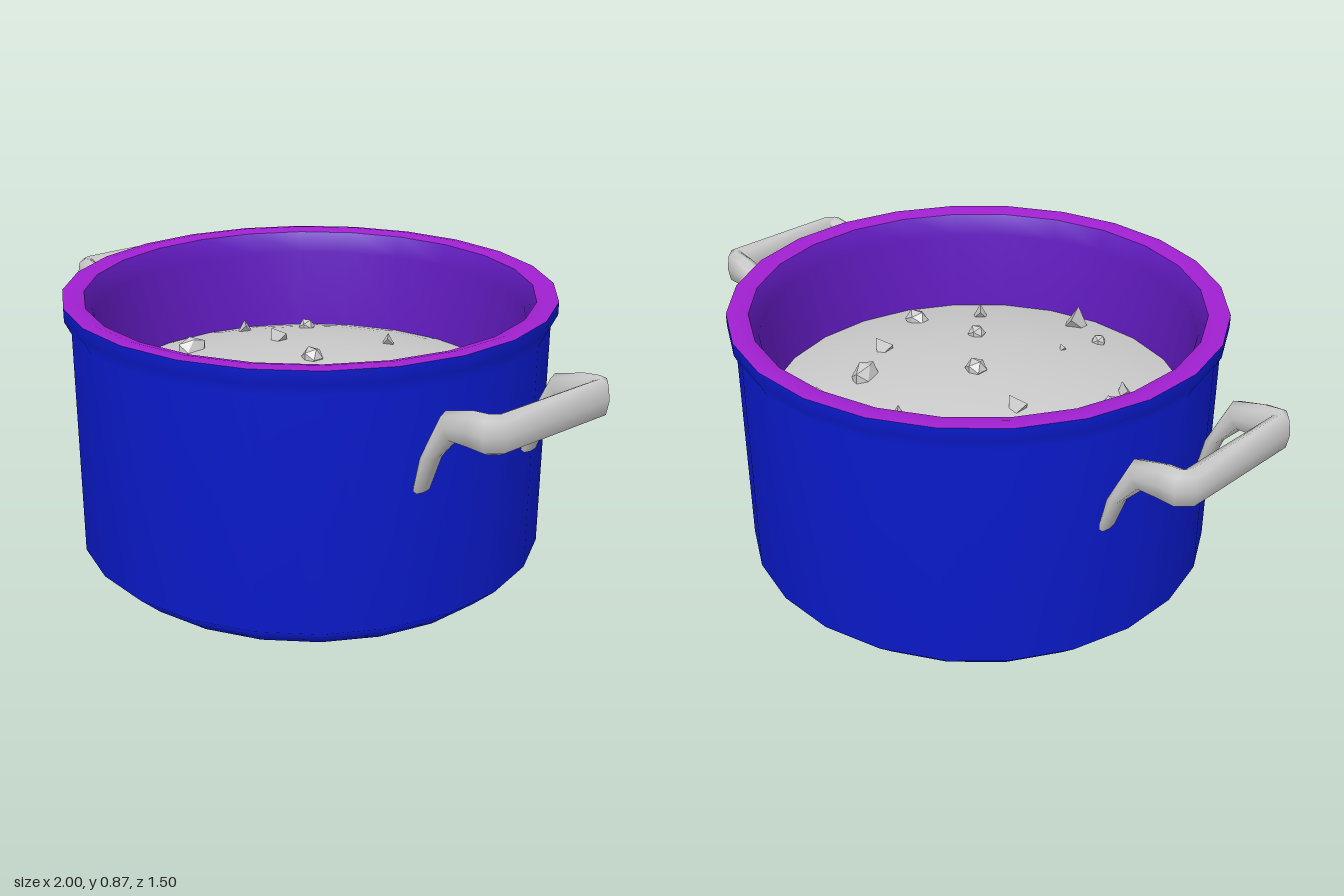
import * as THREE from 'three';

const SEGMENTS = 24;
const SOUP_RADIUS = 0.67;
const soupHeight = (r) => 0.625 - 0.105 * (r / SOUP_RADIUS) ** 2;
const paint = (color, extra = {}) => new THREE.MeshStandardMaterial({ color, ...extra });

// Surface of revolution with a flat facing the front
function turned(name, profile, material) {
  const points = profile.map(([r, y]) => new THREE.Vector2(r, y));
  const mesh = new THREE.Mesh(new THREE.LatheGeometry(points, SEGMENTS, Math.PI / SEGMENTS), material);
  mesh.name = name;
  return mesh;
}

// Loop handle: rings given by centre, upward half-axis and outward half-axis
function handleGeometry() {
  const arm = (ux, uy, lx, ly) => ({
    c: [(ux + lx) / 2, (uy + ly) / 2, 0.216],
    a: [(ux - lx) / 2, (uy - ly) / 2, 0],
    b: [0, 0, 0.032],
  });
  const corner = (ox, oz) => ({
    c: [(ox + 0.94) / 2, 0.731, (oz + 0.186) / 2],
    a: [0, 0.056, 0],
    b: [(ox - 0.94) / 2, 0, (oz - 0.186) / 2],
  });
  const half = [
    arm(0.712, 0.51, 0.73, 0.49),
    arm(0.73, 0.6, 0.775, 0.605),
    arm(0.8, 0.75, 0.84, 0.675),
    arm(0.9, 0.78, 0.9, 0.675),
    corner(0.96, 0.248),
    corner(1, 0.205),
  ];
  const flip = ([x, y, z]) => [x, y, -z];
  const mirrored = half.map(({ c, a, b }) => ({ c: flip(c), a: flip(a), b: flip(b) })).reverse();
  const rings = [...half, ...mirrored];
  const N = 8;
  const soft = (v) => Math.sign(v) * Math.abs(v) ** 0.75;
  const positions = [];
  const index = [];
  rings.forEach(({ c, a, b }, i) => {
    for (let k = 0; k < N; k++) {
      const t = (k / N) * Math.PI * 2;
      const u = soft(Math.cos(t));
      const v = soft(Math.sin(t));
      for (let d = 0; d < 3; d++) positions.push(c[d] + a[d] * u + b[d] * v);
      if (i === rings.length - 1) continue;
      const p = i * N + k;
      const q = i * N + ((k + 1) % N);
      index.push(p, q, p + N, q, q + N, p + N);
    }
  });
  // End caps
  const last = (rings.length - 1) * N;
  for (let k = 1; k < N - 1; k++) {
    index.push(0, k + 1, k, last, last + k, last + k + 1);
  }
  const geometry = new THREE.BufferGeometry();
  geometry.setAttribute('position', new THREE.Float32BufferAttribute(positions, 3));
  geometry.setIndex(index);
  geometry.computeVertexNormals();
  return geometry;
}

export function createModel() {
  const model = new THREE.Group();
  model.name = 'cookingPot';
  const blue = paint(0x0a1acc);
  const grey = paint(0xcccccc);

  // Pot shell, rim and lining
  model.add(turned('potBody',
    [[0, 0], [0.66, 0], [0.735, 0.07], [0.735, 0.78], [0.755, 0.82], [0.755, 0.86]], blue));
  model.add(turned('rim', [[0.755, 0.86], [0.725, 0.865], [0.69, 0.855]], paint(0xa020d0)));
  model.add(turned('lining',
    [[0.69, 0.855], [0.665, 0.79], [0.66, 0.5], [0.66, 0.1], [0.6, 0.06], [0, 0.06]], paint(0x641cc4)));

  // Two opposite handles
  const loop = handleGeometry();
  ['leftHandle', 'rightHandle'].forEach((name, i) => {
    const handle = new THREE.Mesh(loop, grey);
    handle.name = name;
    handle.rotation.y = i * Math.PI;
    model.add(handle);
  });

  // Domed soup surface
  const dome = [];
  for (let i = 0; i <= 8; i++) {
    const r = SOUP_RADIUS * (1 - i / 8);
    dome.push([r, soupHeight(r)]);
  }
  model.add(turned('soup', dome, paint(0xcccccc, { side: THREE.DoubleSide })));

  // Floating chunks: x, z, half width, half length, turn, kind
  const chunks = [
    [0.26, -0.41, 0.028, 0.028, 0.7, 'wedge'], [0.25, -0.25, 0.035, 0.055, 0.3, 'lump'],
    [-0.36, -0.29, 0.026, 0.03, 0.5, 'lump'], [-0.01, -0.345, 0.021, 0.021, 0, 'wedge'],
    [-0.5, -0.13, 0.024, 0.024, 0.2, 'wedge'], [-0.24, -0.07, 0.027, 0.027, 0.8, 'wedge'],
    [0, -0.01, 0.034, 0.034, 0, 'lump'], [0.34, -0.09, 0.026, 0.026, 0.9, 'wedge'],
    [0.19, 0.18, 0.028, 0.03, 0.4, 'lump'], [0.46, 0.16, 0.042, 0.032, 0.2, 'lump'],
    [-0.41, 0.16, 0.033, 0.052, -0.2, 'lump'], [-0.37, 0.27, 0.023, 0.023, 0.2, 'wedge'],
    [-0.07, 0.315, 0.01, 0.01, 0.5, 'wedge'], [0.33, 0.335, 0.024, 0.024, 0, 'wedge'],
    [-0.08, 0.48, 0.024, 0.024, 0.6, 'lump'], [0.08, 0.54, 0.035, 0.045, -0.15, 'wedge'],
  ];
  const shapes = {
    wedge: new THREE.TetrahedronGeometry(Math.sqrt(3)),
    lump: new THREE.IcosahedronGeometry(1.05, 0),
  };
  const faceted = paint(0xcccccc, { flatShading: true });
  const floating = new THREE.Group();
  floating.name = 'soupChunks';
  chunks.forEach(([x, z, w, l, turn, kind]) => {
    const chunk = new THREE.Mesh(shapes[kind], faceted);
    chunk.name = 'chunk';
    chunk.position.set(x, soupHeight(Math.hypot(x, z)) + 0.003, z);
    chunk.scale.set(w, (w + l) / 2, l);
    chunk.rotation.y = turn;
    floating.add(chunk);
  });
  model.add(floating);
  return model;
}
